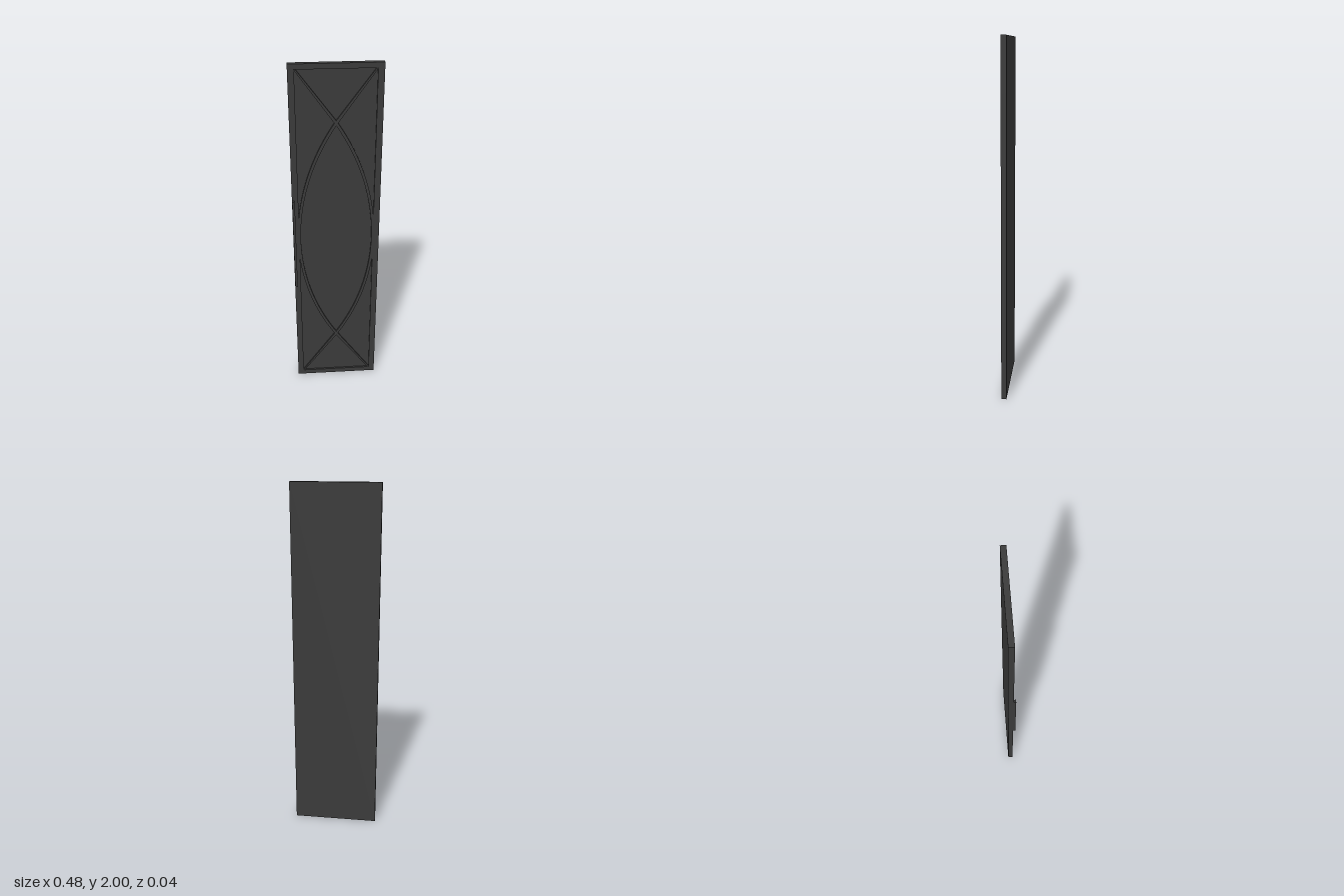
import * as THREE from 'three';

const HALF_W = 0.242, HEIGHT = 2;
const IN_X = 0.208, IN_Y0 = 0.03, IN_Y1 = 1.972; // opening inside the frame
const BACK = -0.021, PANEL = -0.002, FRONT = 0.008;

const material = new THREE.MeshStandardMaterial({ color: 0x3a3a3a });

function part(name, geometry) {
  const mesh = new THREE.Mesh(geometry, material);
  mesh.name = name;
  return mesh;
}

function extrudeBetween(shape, z0, z1) {
  return new THREE.ExtrudeGeometry(shape, { depth: z1 - z0, bevelEnabled: false }).translate(0, 0, z0);
}

function rectangle(Type, x0, y0, x1, y1) {
  return new Type([[x0, y0], [x1, y0], [x1, y1], [x0, y1]].map(([x, y]) => new THREE.Vector2(x, y)));
}

// Centre line of one bowed strip: corner, straight run, arc, straight run, corner
function stripPath(side) {
  const bulge = 0.2075, rise = 0.686, midY = 1.004;
  const radius = (rise * rise + bulge * bulge) / (2 * bulge);
  const sweep = Math.asin(rise / radius);
  const points = [new THREE.Vector2(-side * 0.208, IN_Y0)];
  for (let i = 0; i <= 48; i++) {
    const a = sweep * (i / 24 - 1);
    points.push(new THREE.Vector2(side * (bulge - radius * (1 - Math.cos(a))), midY + radius * Math.sin(a)));
  }
  points.push(new THREE.Vector2(-side * 0.208, IN_Y1));
  return points;
}

// Flat strip around the centre line, trimmed where it meets the frame
function stripShape(points, width) {
  const edge = (sign) => points.map((p, i) => {
    const a = points[Math.max(i - 1, 0)], b = points[Math.min(i + 1, points.length - 1)];
    const d = b.clone().sub(a).normalize();
    return new THREE.Vector2(
      THREE.MathUtils.clamp(p.x - sign * d.y * width / 2, -IN_X, IN_X),
      THREE.MathUtils.clamp(p.y + sign * d.x * width / 2, IN_Y0, IN_Y1));
  });
  return new THREE.Shape([...edge(1), ...edge(-1).reverse()]);
}

export function createModel() {
  const group = new THREE.Group();
  group.name = 'cabinetDoor';

  // Backing slab, whose front shows as the recessed panel
  group.add(part('panel', extrudeBetween(rectangle(THREE.Shape, -HALF_W, 0, HALF_W, HEIGHT), BACK, PANEL)));

  // Raised border
  const border = rectangle(THREE.Shape, -HALF_W, 0, HALF_W, HEIGHT);
  border.holes.push(rectangle(THREE.Path, -IN_X, IN_Y0, IN_X, IN_Y1));
  group.add(part('frame', extrudeBetween(border, PANEL, FRONT)));

  // Two crossing bowed strips, flush with the border
  for (const side of [-1, 1]) {
    const name = side > 0 ? 'leftStrip' : 'rightStrip';
    group.add(part(name, extrudeBetween(stripShape(stripPath(side), 0.016), PANEL, FRONT)));
  }

  // Long pull bar on the edge
  const handle = part('handle', new THREE.BoxGeometry(0.014, 0.56, 0.013));
  handle.position.set(-0.234, 0.97, FRONT + 0.0065);
  group.add(handle);

  return group;
}
